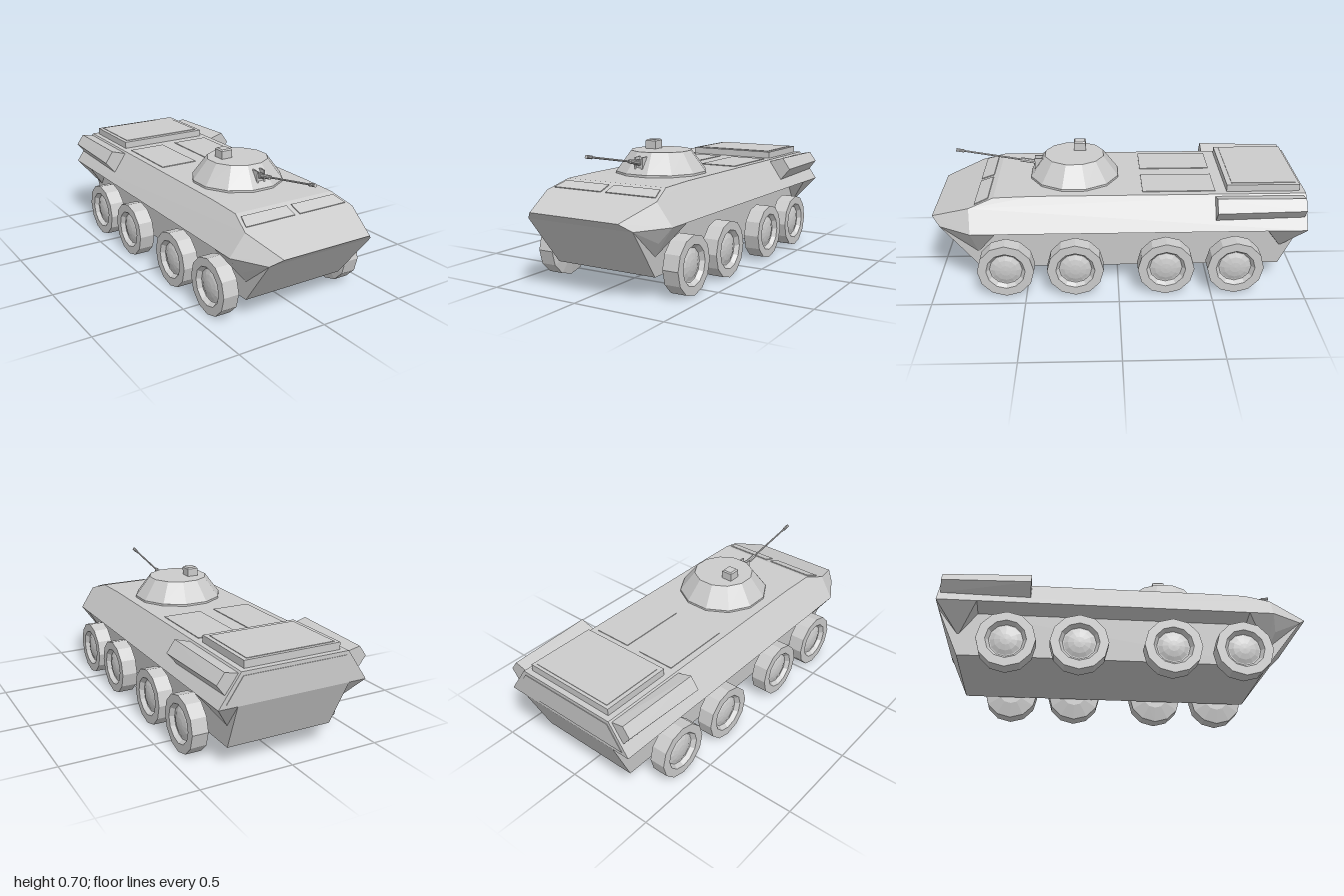
import * as THREE from 'three';
import { ConvexGeometry } from 'three/addons/geometries/ConvexGeometry.js';

export function createModel() {
  const model = new THREE.Group();
  const mat = new THREE.MeshStandardMaterial({ color: 0xcccccc, flatShading: true });

  function add(name, geometry, x = 0, y = 0, z = 0, parent = model) {
    const mesh = new THREE.Mesh(geometry, mat);
    mesh.name = name;
    mesh.position.set(x, y, z);
    parent.add(mesh);
    return mesh;
  }
  const solid = (pts) => new ConvexGeometry(pts.map((p) => new THREE.Vector3(...p)));
  // Convex solid symmetric about x = 0
  const mirrored = (pts) => solid(pts.flatMap(([x, y, z]) => [[x, y, z], [-x, y, z]]));
  const box = (name, w, h, d, x, y, z) => add(name, new THREE.BoxGeometry(w, h, d), x, y, z);
  const plate = (pts, depth) => new THREE.ExtrudeGeometry(
    new THREE.Shape(pts.map((p) => new THREE.Vector2(...p))), { depth, bevelEnabled: false });

  // Hull above the belt line, with chamfered nose
  add('upperHull', mirrored([
    [0.26, 0.41, 1], [0.31, 0.37, 0.955], [0.41, 0.37, 0.78], [0.33, 0.485, 0.79],
    [0.298, 0.53, 0.66], [0.295, 0.535, 0.45], [0.295, 0.535, -1], [0.41, 0.37, -1],
  ]));

  // Hull between the wheels
  add('lowerHull', mirrored([
    [0.31, 0.37, 0.955], [0.295, 0.205, 0.76], [0.295, 0.11, 0.755],
    [0.295, 0.11, -0.885], [0.295, 0.22, -0.885], [0.31, 0.37, -1],
  ]));

  for (const s of [1, -1]) {
    const side = (pts) => solid(pts.map(([x, y, z]) => [s * x, y, z]));
    // Overhang above the wheels and the wedges closing its ends
    add('sponson', side([
      [0.41, 0.37, 0.78], [0.41, 0.37, -1], [0.29, 0.37, 0.78],
      [0.29, 0.37, -1], [0.29, 0.34, 0.74], [0.29, 0.34, -0.9],
    ]));
    add('frontWedge', side([
      [0.31, 0.37, 0.955], [0.41, 0.37, 0.78], [0.41, 0.37, 0.65],
      [0.345, 0.29, 0.8], [0.295, 0.205, 0.76], [0.29, 0.34, 0.65],
    ]));
    add('rearWedge', side([
      [0.31, 0.37, -1], [0.41, 0.37, -1], [0.41, 0.37, -0.79],
      [0.345, 0.295, -0.94], [0.295, 0.22, -0.885], [0.29, 0.34, -0.79],
    ]));
    // Exhaust housing, slightly narrower at the back
    add('exhaustHousing', side([
      [0.3, 0.525, -0.515], [0.385, 0.55, -0.515], [0.43, 0.485, -0.515], [0.375, 0.42, -0.515],
      [0.3, 0.525, -0.985], [0.372, 0.54, -0.985], [0.412, 0.485, -0.985], [0.37, 0.43, -0.985],
    ]));
    // Roof hatch and front window cover
    box('roofHatch', 0.215, 0.008, 0.39, s * 0.15, 0.535, -0.325);
    const outline = [[0.015, 0.254], [0.305, 0.254], [0.285, 0.33], [0.015, 0.33]];
    const cover = add('windowCover', plate(outline.map(([x, y]) => [s * x, y]), 0.005), 0, 0.41, 1);
    cover.rotation.x = -Math.PI / 2 + Math.atan2(0.12, 0.34);
  }

  // Engine deck and its cover
  box('engineDeck', 0.53, 0.045, 0.39, 0, 0.5505, -0.775);
  box('engineDeckCover', 0.485, 0.006, 0.345, 0, 0.573, -0.78);

  // Rear panels, upright above and sloped below
  add('rearPanel', plate([[-0.37, 0.39], [0.37, 0.39], [0.285, 0.515], [-0.285, 0.515]], 0.004), 0, 0, -1.003);
  const lowerPanel = add('lowerRearPanel',
    plate([[-0.285, 0.02], [0.285, 0.02], [0.3, 0.175], [-0.3, 0.175]], 0.004), 0, 0.22, -0.888);
  lowerPanel.rotation.x = -Math.atan2(0.115, 0.15);

  // Wheels: lathe profile of radius against width, with a domed hub
  const wheelProfile = [[0, -0.06], [0.07, -0.06], [0.152, -0.042], [0.152, 0.045], [0.105, 0.045],
    [0.088, 0.022], [0.082, 0.022], [0.06, 0.031], [0.03, 0.037], [0, 0.039]]
    .map((p) => new THREE.Vector2(...p));
  const wheelGeo = new THREE.LatheGeometry(wheelProfile, 12);
  const axleGeo = new THREE.CylinderGeometry(0.028, 0.028, 0.14, 10);
  for (const s of [1, -1]) {
    for (const z of [0.606, 0.233, -0.254, -0.628]) {
      const wheel = new THREE.Group();
      wheel.name = 'wheel';
      wheel.position.set(s * 0.38, 0.153, z);
      wheel.rotation.z = -s * Math.PI / 2;
      add('tyreAndHub', wheelGeo, 0, 0, 0, wheel);
      add('axle', axleGeo, 0, -0.12, 0, wheel);
      model.add(wheel);
    }
  }

  // Turret: twelve-sided cone on a short collar
  const flat = 1 / Math.cos(Math.PI / 12);
  const turret = new THREE.Group();
  turret.name = 'turret';
  turret.position.set(0, 0.535, 0.235);
  model.add(turret);
  add('turretCollar', new THREE.CylinderGeometry(0.24 * flat, 0.24 * flat, 0.012, 12), 0, 0.005, 0, turret)
    .rotation.y = Math.PI / 12;
  add('turretShell', new THREE.CylinderGeometry(0.16 * flat, 0.24 * flat, 0.11, 12), 0, 0.065, 0, turret)
    .rotation.y = Math.PI / 12;

  // Periscope with a bevelled top
  add('periscope', solid([-1, 1].flatMap((a) => [-1, 1].flatMap((b) => [
    [a * 0.032, 0, b * 0.033], [a * 0.032, 0.055, b * 0.033], [a * 0.025, 0.062, b * 0.027],
  ]))), -0.068, 0.643, 0.205);

  // Gun mount
  for (const s of [1, -1]) box('gunMountCheek', 0.008, 0.065, 0.06, s * 0.021, 0.602, 0.425);
  box('gunMountBase', 0.036, 0.03, 0.06, 0, 0.585, 0.42);

  // Gun: sections along a raised barrel axis
  const gun = new THREE.Group();
  gun.name = 'gun';
  gun.position.set(0, 0.598, 0.4);
  gun.rotation.x = Math.PI / 2 - Math.atan2(0.085, 0.485);
  model.add(gun);
  const tube = (name, r, from, to) =>
    add(name, new THREE.CylinderGeometry(r, r, to - from, 10), 0, (from + to) / 2, 0, gun);
  tube('gunBreech', 0.017, -0.02, 0.06);
  tube('gunSleeve', 0.012, 0.05, 0.135);
  tube('gunBarrel', 0.005, 0.1, 0.48);
  tube('muzzle', 0.009, 0.45, 0.492);

  return model;
}
